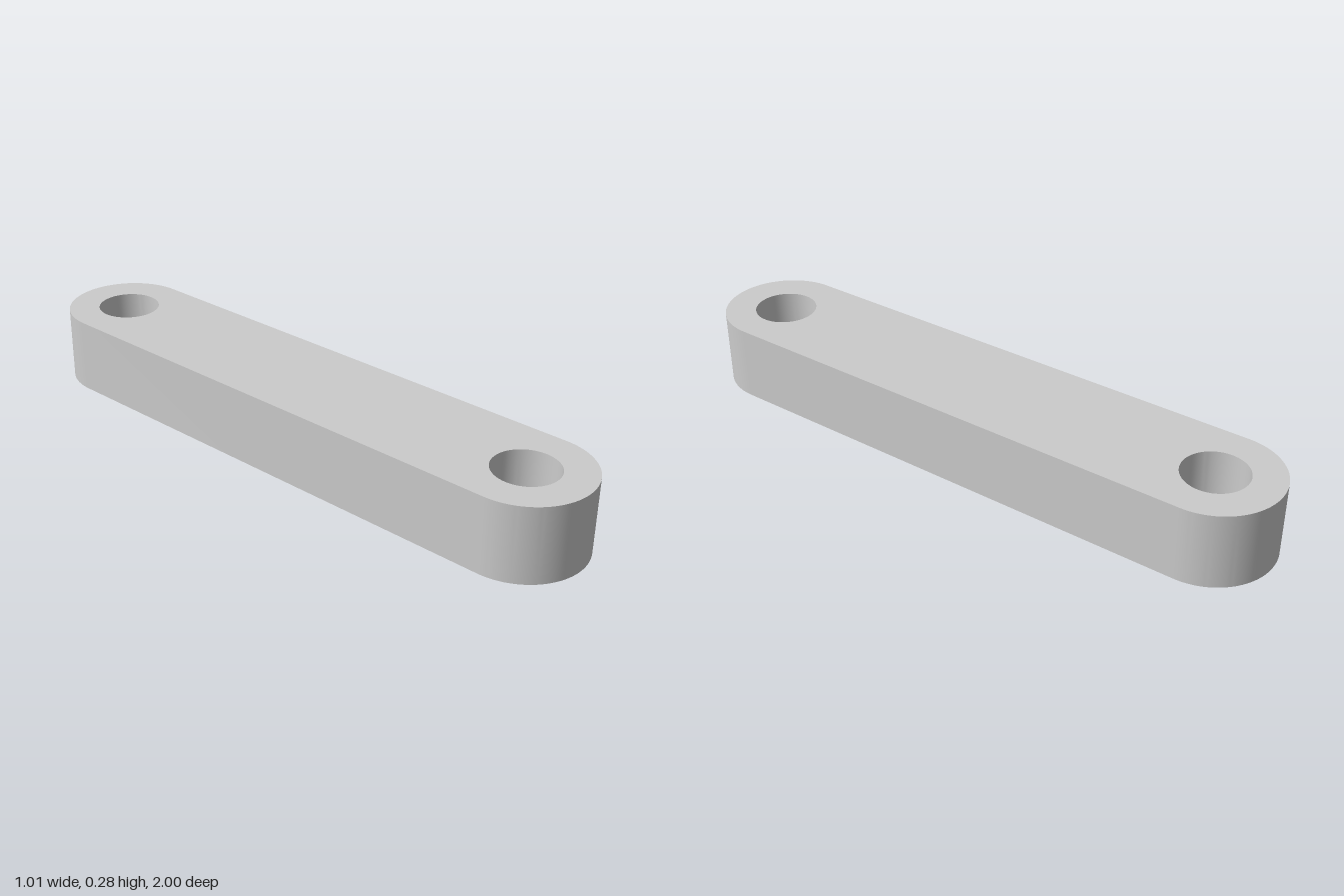
import * as THREE from 'three';
import { toCreasedNormals } from 'three/addons/utils/BufferGeometryUtils.js';

const RADIUS = 0.21;       // rounded end radius
const HOLE = 0.105;        // pin hole radius
const END = { x: 0.297, z: 0.79 }; // centre of the front pin hole
const HEIGHT = 0.253;
const TILT = 0.0115;       // slight rise towards the back

export function createModel() {
  const group = new THREE.Group();
  group.name = 'linkArm';

  // Straight bar with two round ends, laid out along its own length
  const half = Math.hypot(END.x, END.z);
  const outline = new THREE.Shape();
  outline.absarc(0, half, RADIUS, 0, Math.PI, false);
  outline.absarc(0, -half, RADIUS, Math.PI, Math.PI * 2, false);
  outline.closePath();

  // A through hole at each end
  for (const side of [-1, 1]) {
    const hole = new THREE.Path();
    hole.absarc(0, side * half, HOLE, 0, Math.PI * 2, true);
    outline.holes.push(hole);
  }

  const bar = new THREE.ExtrudeGeometry(outline, {
    depth: HEIGHT, bevelEnabled: false, curveSegments: 32,
  });
  bar.translate(0, 0, -HEIGHT / 2);
  bar.rotateZ(Math.atan2(END.x, END.z)); // swing diagonally
  bar.rotateX(-Math.PI / 2 + TILT);      // lay down, slightly raised at the back
  bar.computeBoundingBox();
  bar.translate(0, -bar.boundingBox.min.y, 0);

  const link = new THREE.Mesh(
    toCreasedNormals(bar, 0.6),
    new THREE.MeshStandardMaterial({ color: 0xcccccc }),
  );
  link.name = 'linkBar';
  group.add(link);
  return group;
}
